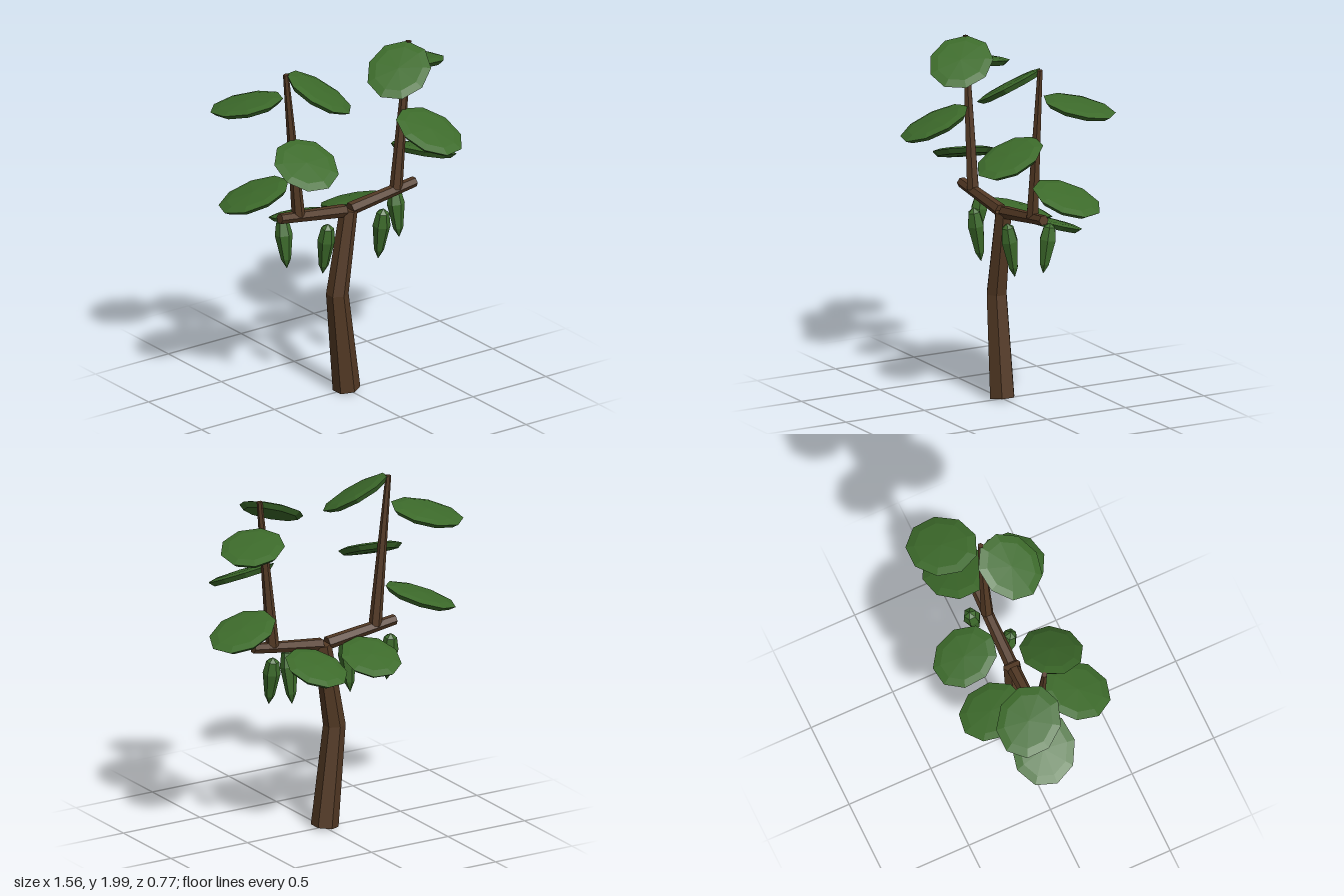
import * as THREE from 'three';

const bark = new THREE.MeshStandardMaterial({ color: 0x533924, flatShading: true });
const green = new THREE.MeshStandardMaterial({ color: 0x3d6b2b, flatShading: true });
const deg = THREE.MathUtils.degToRad;

function addMesh(parent, name, geometry, material) {
  const mesh = new THREE.Mesh(geometry, material);
  mesh.name = name;
  parent.add(mesh);
  return mesh;
}

// Six-sided tapering limb between two points
function addLimb(parent, name, from, to, r0, r1) {
  const a = new THREE.Vector3(...from), b = new THREE.Vector3(...to);
  const dir = b.clone().sub(a);
  const limb = addMesh(parent, name, new THREE.CylinderGeometry(r1, r0, dir.length(), 6), bark);
  limb.position.copy(a).add(b).multiplyScalar(0.5);
  limb.quaternion.setFromUnitVectors(new THREE.Vector3(0, 1, 0), dir.normalize());
}

// Bent trunk: three hexagonal rings, each shifted and tilted along the bend
function trunkGeometry() {
  const rings = [
    { x: -0.005, y: 0.012, r: 0.077, slope: 0.12 },
    { x: -0.068, y: 0.595, r: 0.063, slope: -0.02 },
    { x: 0.01, y: 1.08, r: 0.05, slope: -0.15 },
  ];
  const geo = new THREE.CylinderGeometry(1, 1, 2, 6, 2);
  const p = geo.attributes.position;
  for (let i = 0; i < p.count; i++) {
    const ring = rings[Math.round(p.getY(i)) + 1];
    const x = p.getX(i) * ring.r;
    p.setXYZ(i, ring.x + x, ring.y + x * ring.slope, p.getZ(i) * ring.r);
  }
  return geo;
}

function lathe(profile, sides, start) {
  return new THREE.LatheGeometry(profile.map(([x, y]) => new THREE.Vector2(x, y)), sides, start);
}

// Nine-sided leaf pad with a bevelled underside; its tip points to +z
const leafGeo = lathe([[0, -0.026], [0.85, -0.022], [1, 0.006], [0.75, 0.018], [0, 0.026]], 9, Math.PI);
leafGeo.scale(0.18, 1, 0.21);

// Hanging pod with its stalk end at the origin
const podGeo = lathe([[0, -0.3], [0.028, -0.245], [0.05, -0.1], [0.036, -0.025], [0, 0]], 6, 0);

// Leaf centre, heading about y, downward tilt and size
const leaves = [
  { at: [0.275, 1.885, 0.11], heading: -50, tilt: 30, size: 1 },
  { at: [0.57, 1.797, -0.165], heading: 135, tilt: 12, size: 1 },
  { at: [0.423, 1.512, 0.193], heading: 14, tilt: 24, size: 1 },
  { at: [0.58, 1.28, -0.08], heading: 110, tilt: 19, size: 1 },
  { at: [0.178, 1.03, -0.207], heading: 188, tilt: 18, size: 0.93 },
];

const pods = [
  { at: [0.385, 1.098, -0.085], lean: -9, length: 0.97 },
  { at: [0.19, 1.07, 0.08], lean: 9, length: 1.07 },
];

export function createModel() {
  const tree = new THREE.Group();
  tree.name = 'tree';
  addMesh(tree, 'trunk', trunkGeometry(), bark);

  for (const side of [1, -1]) {
    const half = new THREE.Group();
    half.name = side > 0 ? 'leftCrown' : 'rightCrown';
    tree.add(half);

    // Side branch and the upright stem growing from it
    addLimb(half, 'branch', [side * 0.02, 1.082, 0], [side * 0.463, 1.14, 0], 0.038, 0.03);
    addLimb(half, 'stem', [side * 0.335, 1.13, 0], [side * 0.421, 1.995, 0], 0.037, 0.016);

    for (const { at: [x, y, z], heading, tilt, size } of leaves) {
      const leaf = addMesh(half, 'leaf', leafGeo, green);
      leaf.position.set(side * x, y, z);
      leaf.rotation.set(deg(tilt), side * deg(heading), 0, 'YXZ');
      leaf.scale.setScalar(size);
    }

    for (const { at: [x, y, z], lean, length } of pods) {
      const pod = addMesh(half, 'pod', podGeo, green);
      pod.position.set(side * x, y, z);
      pod.rotation.x = deg(lean);
      pod.scale.y = length;
    }
  }
  return tree;
}
